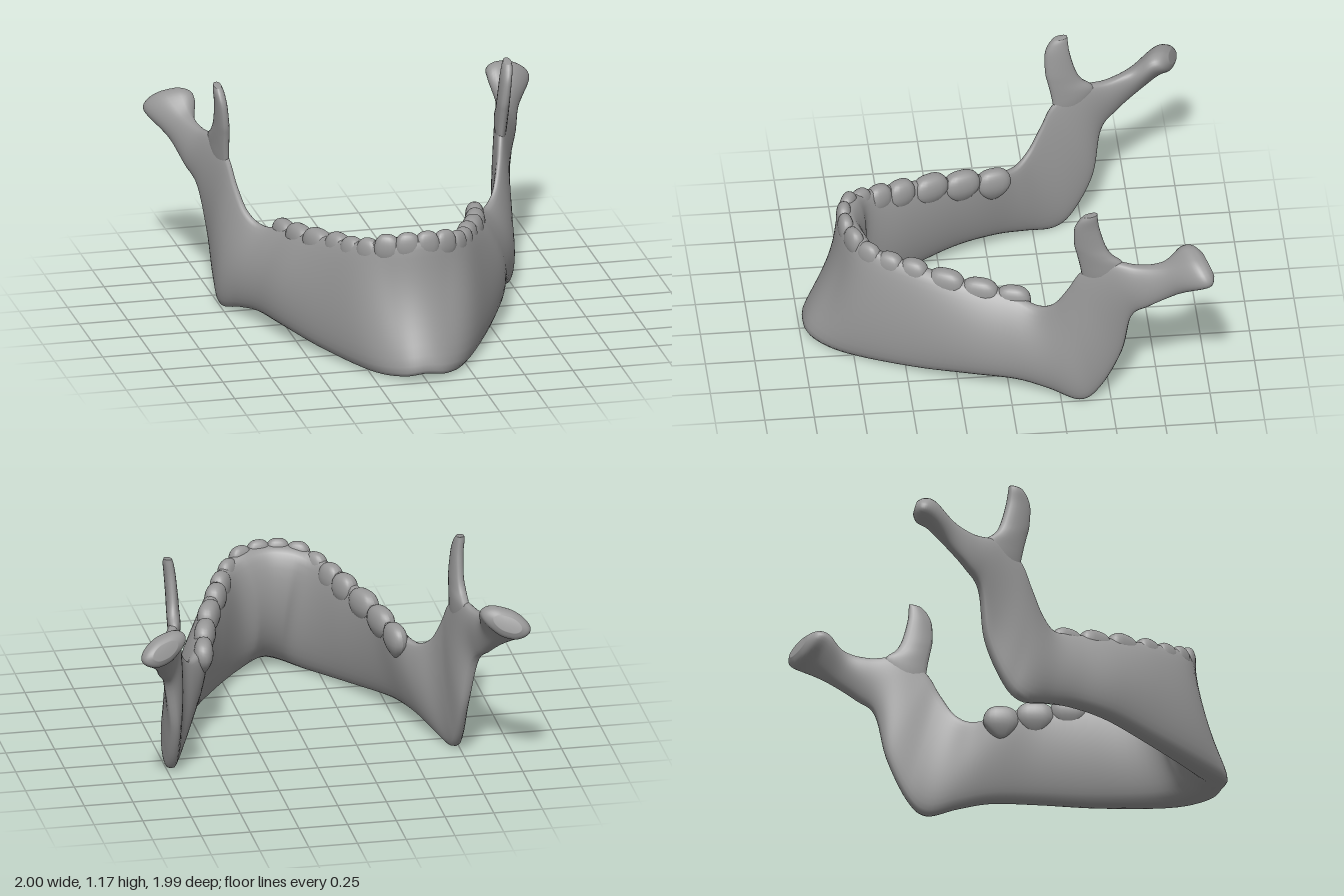
import * as THREE from 'three';

const material = new THREE.MeshStandardMaterial({ color: 0x989898 });

// Station: lower edge xyz, upper edge xyz, half thickness low/mid/high,
// outward angle (degrees in x-z), outward bulge at mid height, outward tilt in y
const body = [
  [0, .035, .93, 0, .7, .765, .14, .096, .085, 90, -.078, 0],
  [.1, .018, .905, .14, .69, .728, .13, .094, .08, 70, -.068, 0],
  [.22, .006, .765, .25, .65, .635, .095, .082, .062, 38, -.012, 0],
  [.4, .032, .46, .345, .61, .445, .075, .08, .06, 28, 0, 0],
  [.535, .066, .18, .435, .56, .2, .068, .078, .054, 22, .015, 0],
  [.608, .07, -.04, .49, .525, 0, .062, .073, .053, 18, .02, 0],
  [.665, .04, -.2, .575, .488, -.135, .058, .066, .04, 20, .015, 0],
];
const ramus = [
  [.725, .003, -.35, .64, .54, -.22, .056, .058, .032, 17, .012, 0],
  [.735, .08, -.45, .68, .66, -.29, .048, .05, .028, 16, .01, 0],
  [.745, .3, -.555, .705, .78, -.355, .043, .046, .028, 14, .005, 0],
  [.785, .55, -.6, .735, .86, -.48, .045, .045, .032, 10, 0, 0],
  [.828, .64, -.685, .78, .852, -.63, .045, .05, .04, 5, 0, 0],
  [.86, .725, -.8, .825, .882, -.755, .045, .063, .055, -8, 0, -.1],
  [.885, .8, -.91, .865, .958, -.865, .07, .122, .1, -18, 0, -.2],
  [.88, .83, -.97, .872, .966, -.925, .07, .118, .095, -18, 0, -.25],
  [.88, .87, -.99, .875, .945, -.965, .055, .07, .06, -18, 0, -.25],
];
const coronoid = [
  [.748, .66, -.52, .705, .68, -.37, .012, .014, .01, 14, 0, 0],
  [.75, .78, -.55, .708, .77, -.355, .024, .03, .02, 14, 0, 0],
  [.75, .85, -.56, .712, .84, -.343, .028, .034, .026, 14, 0, 0],
  [.745, .9, -.505, .715, .91, -.328, .028, .033, .026, 14, 0, 0],
  [.74, .96, -.472, .72, .97, -.316, .026, .032, .026, 14, 0, 0],
  [.742, 1.07, -.442, .732, 1.07, -.315, .026, .03, .024, 14, 0, 0],
  [.75, 1.145, -.432, .742, 1.125, -.335, .024, .027, .022, 12, 0, 0],
  [.752, 1.17, -.43, .748, 1.158, -.36, .018, .02, .016, 12, 0, 0],
];
// Tooth: tip xyz, half width along the arch, half depth across it, outward angle
const teeth = {
  centralIncisor: [.05, .727, .77, .066, .04, 84],
  lateralIncisor: [.148, .715, .738, .066, .042, 66],
  canine: [.226, .678, .67, .068, .044, 42],
  firstPremolar: [.284, .654, .57, .072, .05, 30],
  secondPremolar: [.332, .64, .455, .078, .053, 27],
  firstMolar: [.398, .612, .3, .1, .055, 24],
  secondMolar: [.452, .582, .135, .1, .054, 18],
  thirdMolar: [.492, .553, -.03, .092, .05, 13],
};

const mirrored = (stations) => stations.map((s) =>
  s.map((v, k) => (k === 0 || k === 3 ? -v : k === 9 ? 180 - v : v))).reverse();

// Catmull-Rom through every value of the stations
function refine(stations, steps) {
  const out = [], n = stations.length - 1;
  const at = (i) => stations[Math.min(Math.max(i, 0), n)];
  for (let i = 0; i <= n * steps; i++) {
    const k = Math.min(Math.floor(i / steps), n - 1), f = i / steps - k;
    const [p, q, r, s] = [at(k - 1), at(k), at(k + 1), at(k + 2)];
    out.push(q.map((v, j) => v + 0.5 * f * (r[j] - p[j]
      + f * (2 * p[j] - 5 * v + 4 * r[j] - s[j] + f * (3 * (v - r[j]) + s[j] - p[j])))));
  }
  return out;
}

// Rounded upright cross-section running from the lower edge to the upper edge
function section(s, sides) {
  const low = new THREE.Vector3(s[0], s[1], s[2]), high = new THREE.Vector3(s[3], s[4], s[5]);
  const angle = THREE.MathUtils.degToRad(s[9]);
  const outward = new THREE.Vector3(Math.cos(angle), s[11], Math.sin(angle));
  const ring = [];
  for (let j = 0; j < sides; j++) {
    const a = (j / sides) * Math.PI * 2, u = (1 - Math.cos(a)) / 2, sn = Math.sin(a);
    const width = s[6] * (1 - u) * (1 - 2 * u) + s[7] * 4 * u * (1 - u) + s[8] * u * (2 * u - 1);
    const offset = 4 * u * (1 - u) * s[10] + Math.sign(sn) * Math.abs(sn) ** 0.65 * width;
    ring.push(low.clone().lerp(high, u).addScaledVector(outward, offset));
  }
  return ring;
}

function loft(name, stations, sides = 32, steps = 6) {
  const rings = refine(stations, steps).map((s) => section(s, sides));
  const points = rings.flat(), index = [], last = rings.length - 1;
  for (let i = 0; i < last; i++) {
    for (let j = 0; j < sides; j++) {
      const a = i * sides + j, b = i * sides + (j + 1) % sides;
      index.push(a, a + sides, b, b, a + sides, b + sides);
    }
  }
  // End caps
  for (const i of [0, last]) {
    const centre = points.length;
    points.push(rings[i].reduce((c, p) => c.addScaledVector(p, 1 / sides), new THREE.Vector3()));
    for (let j = 0; j < sides; j++) {
      const a = i * sides + j, b = i * sides + (j + 1) % sides;
      index.push(centre, ...(i === 0 ? [a, b] : [b, a]));
    }
  }
  const geometry = new THREE.BufferGeometry().setFromPoints(points);
  geometry.setIndex(index);
  geometry.computeVertexNormals();
  const mesh = new THREE.Mesh(geometry, material);
  mesh.name = name;
  return mesh;
}

// Squarish rounded crown, narrowing towards its root
function crownGeometry() {
  const geometry = new THREE.SphereGeometry(1, 20, 16), pos = geometry.attributes.position;
  const square = (v) => Math.sign(v) * Math.abs(v) ** 0.8;
  for (let i = 0; i < pos.count; i++) {
    const y = pos.getY(i), taper = y < 0 ? 1 + 0.5 * y : 1;
    pos.setXYZ(i, square(pos.getX(i)) * taper, square(y), square(pos.getZ(i)) * taper);
  }
  geometry.computeVertexNormals();
  return geometry;
}

export function createModel() {
  const model = new THREE.Group();
  model.name = 'lowerJaw';

  // Body, rami and condyles in one sweep from side to side
  const half = [...body, ...ramus];
  model.add(loft('jawBone', [...mirrored(half.slice(1)), ...half]));

  // Coronoid processes
  model.add(loft('leftCoronoidProcess', coronoid, 20));
  model.add(loft('rightCoronoidProcess', mirrored(coronoid), 20));

  // Teeth along the arch
  const crown = crownGeometry(), height = 0.09;
  for (const [side, sign] of [['left', 1], ['right', -1]]) {
    const row = new THREE.Group();
    row.name = `${side}Teeth`;
    for (const [name, [x, y, z, along, across, angle]] of Object.entries(teeth)) {
      const tooth = new THREE.Mesh(crown, material);
      tooth.name = name;
      tooth.position.set(sign * x, y - height, z);
      tooth.scale.set(along, height, across);
      tooth.rotation.y = sign * THREE.MathUtils.degToRad(90 - angle);
      row.add(tooth);
    }
    model.add(row);
  }
  return model;
}
